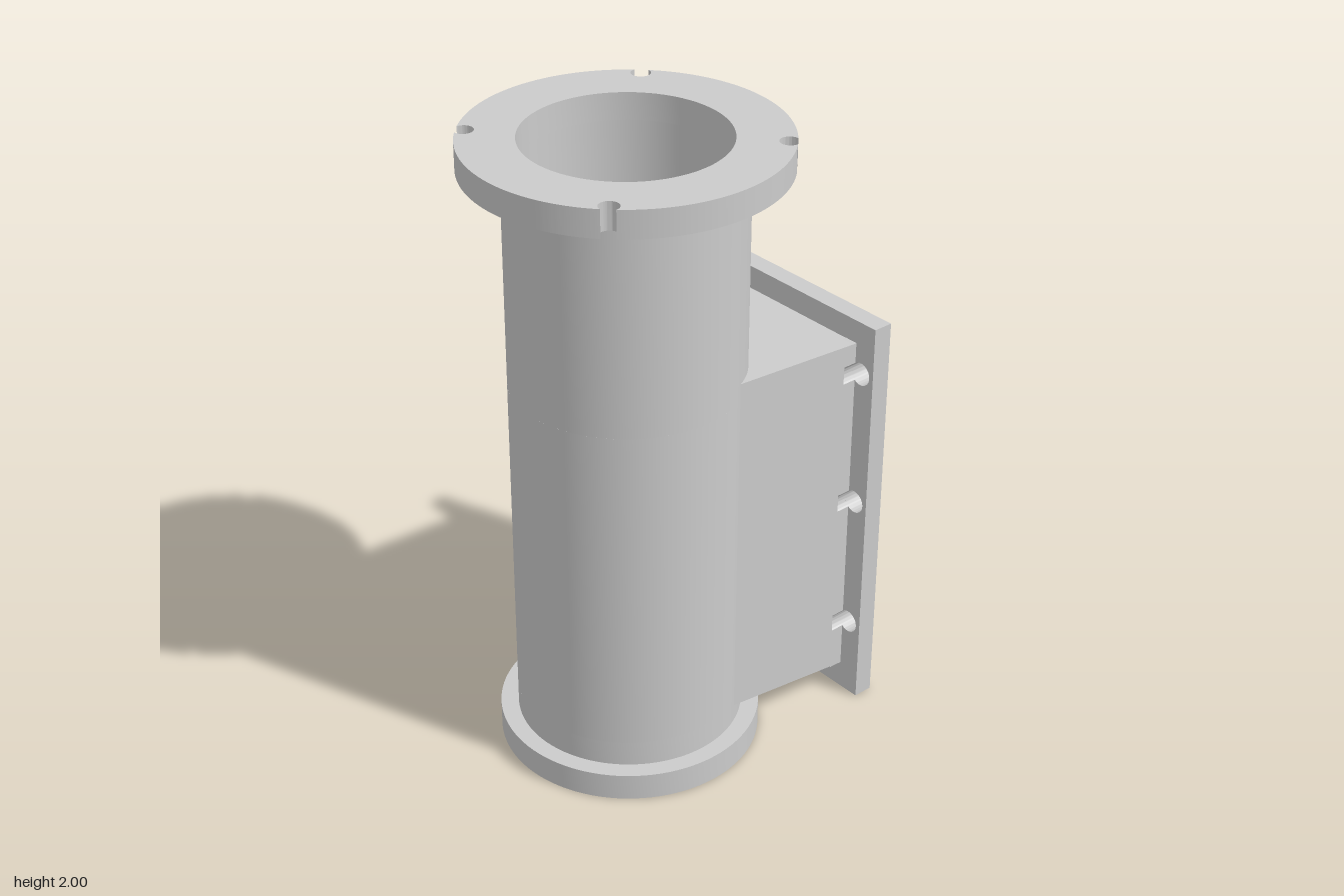
import * as THREE from 'three';
import { toCreasedNormals } from 'three/addons/utils/BufferGeometryUtils.js';

const CZ = 0.107;                 // z of the tube axis
const R_OUT = 0.35, R_IN = 0.303; // tube radii
const DUCT_X = 0.31, DUCT_IN = 0.265;
const PLATE_Z = -0.516, BACK_Z = -0.58;
const HOLE_X = 0.333, HOLE_R = 0.037, HOLE_Y = [0.265, 0.715, 1.165];

const material = new THREE.MeshStandardMaterial({ color: 0xcccccc, side: THREE.DoubleSide });

function addMesh(group, name, geometry) {
  const mesh = new THREE.Mesh(toCreasedNormals(geometry, 0.5), material);
  mesh.name = name;
  group.add(mesh);
}

function extrude(shape, depth) {
  return new THREE.ExtrudeGeometry(shape, { depth, bevelEnabled: false, curveSegments: 48 });
}

// Plan shape (shape y points to the back, origin on the tube axis) raised from y0 to y1
function slab(shape, y0, y1) {
  return extrude(shape, y1 - y0).rotateX(-Math.PI / 2).translate(0, y0, CZ);
}

function circle(r, x = 0, y = 0) {
  return new THREE.Shape().absarc(x, y, r, 0, Math.PI * 2, false);
}

function rect(w, h, x, y) {
  return new THREE.Shape([[-1, -1], [1, -1], [1, 1], [-1, 1]].map(
    ([a, b]) => new THREE.Vector2(x + a * w / 2, y + b * h / 2)));
}

function ring() {
  const s = circle(R_OUT);
  s.holes.push(circle(R_IN));
  return s;
}

// Ring with a straight-sided gap at the back, where the duct enters
function openRing() {
  const a = Math.acos(DUCT_IN / R_OUT), b = Math.acos(DUCT_IN / R_IN);
  const s = new THREE.Shape();
  s.absarc(0, 0, R_OUT, Math.PI - a, Math.PI * 2 + a, false);
  s.absarc(0, 0, R_IN, Math.PI * 2 + b, Math.PI - b, true);
  s.closePath();
  return s;
}

// Flange with four round notches on its rim
function notchedFlange() {
  const R = 0.472, d = 0.45, r = 0.03;
  const b = Math.acos((d * d + R * R - r * r) / (2 * d * R));
  const c = Math.atan2(R * Math.sin(b), R * Math.cos(b) - d);
  const s = new THREE.Shape();
  for (let k = 0; k < 4; k++) {
    const a0 = Math.PI / 4 + k * Math.PI / 2, a1 = a0 + Math.PI / 2;
    s.absarc(0, 0, R, a0 + b, a1 - b, false);
    s.absarc(d * Math.cos(a1), d * Math.sin(a1), r, a1 - c, a1 + c - Math.PI * 2, true);
  }
  s.holes.push(circle(R_IN));
  return s;
}

function bottomFlange() {
  const s = circle(0.405);
  s.holes.push(circle(0.108));
  for (const q of [-1, 1]) {
    s.holes.push(rect(0.07, 0.045, 0, q * 0.194), rect(0.045, 0.07, q * 0.194, 0));
  }
  return s;
}

// Roof or floor of the duct: hollowed to fit the tube, then sloped along z
function ductPanel(y0, y1, slope) {
  const a = Math.acos(DUCT_X / 0.33), back = CZ - PLATE_Z;
  const s = new THREE.Shape();
  s.moveTo(DUCT_X, back);
  s.lineTo(-DUCT_X, back);
  s.absarc(0, 0, 0.33, Math.PI - a, a, true);
  s.closePath();
  const g = slab(s, y0, y1), p = g.attributes.position;
  for (let i = 0; i < p.count; i++) p.setY(i, p.getY(i) + slope * (p.getZ(i) - PLATE_Z));
  return g;
}

// Main part of a duct side wall, a trapezium in the z-y plane
function ductSide(xMax) {
  const pts = [[-0.47, 0.095], [-0.055, 0.145], [-0.055, 1.29], [-0.47, 1.263]];
  const s = new THREE.Shape(pts.map(([z, y]) => new THREE.Vector2(z, y)));
  return extrude(s, DUCT_X - DUCT_IN).rotateY(-Math.PI / 2).translate(xMax, 0, 0);
}

// Rear strip of a side wall, scalloped to clear the bolts
function scallopedStrip(side) {
  const a = Math.acos((HOLE_X - DUCT_X) / HOLE_R);
  const s = new THREE.Shape();
  s.moveTo(DUCT_IN, 0.092);
  s.lineTo(DUCT_X, 0.092);
  for (const y of HOLE_Y) s.absarc(HOLE_X, y, HOLE_R, Math.PI + a, Math.PI - a, true);
  s.lineTo(DUCT_X, 1.261);
  s.lineTo(DUCT_IN, 1.261);
  s.closePath();
  const g = extrude(s, 0.046).translate(0, 0, PLATE_Z);
  return side > 0 ? g : g.rotateZ(Math.PI).translate(0, HOLE_Y[1] * 2 - 0.077, 0);
}

// Mirrored strip, drawn with the outline reversed in x
function mirroredStrip() {
  const g = scallopedStrip(1), p = g.attributes.position;
  for (let i = 0; i < p.count; i++) p.setX(i, -p.getX(i));
  // swap two corners of each triangle so the faces keep facing outward
  for (let i = 0; i < p.count; i += 3) {
    const a = new THREE.Vector3().fromBufferAttribute(p, i);
    const b = new THREE.Vector3().fromBufferAttribute(p, i + 1);
    p.setXYZ(i, b.x, b.y, b.z);
    p.setXYZ(i + 1, a.x, a.y, a.z);
  }
  return g;
}

// Mounting plate with four tall slots and six bolt holes
function grillePlate() {
  const s = rect(0.77, 1.335, 0, 0.6675);
  for (const x of [-0.216, -0.072, 0.072, 0.216]) s.holes.push(rect(0.098, 1.08, x, 0.665));
  for (const x of [-HOLE_X, HOLE_X]) {
    for (const y of HOLE_Y) s.holes.push(circle(HOLE_R, x, y));
  }
  return extrude(s, PLATE_Z - BACK_Z).translate(0, 0, BACK_Z);
}

export function createModel() {
  const model = new THREE.Group();
  model.name = 'ventedTubeHousing';

  // Tube and its flanges
  addMesh(model, 'bottomFlange', slab(bottomFlange(), 0, 0.087));
  addMesh(model, 'tubeLower', slab(ring(), 0.087, 0.17));
  addMesh(model, 'tubeMiddle', slab(openRing(), 0.17, 1.238));
  addMesh(model, 'tubeUpper', slab(ring(), 1.238, 1.915));
  addMesh(model, 'topFlange', slab(notchedFlange(), 1.915, 2));

  // Rear duct
  addMesh(model, 'ductRoof', ductPanel(1.215, 1.26, 0.066));
  addMesh(model, 'ductFloor', ductPanel(0.09, 0.13, 0.121));
  addMesh(model, 'ductLeftWall', ductSide(DUCT_X));
  addMesh(model, 'ductRightWall', ductSide(-DUCT_IN));
  addMesh(model, 'ductLeftStrip', scallopedStrip(1));
  addMesh(model, 'ductRightStrip', mirroredStrip());

  addMesh(model, 'grillePlate', grillePlate());
  return model;
}
